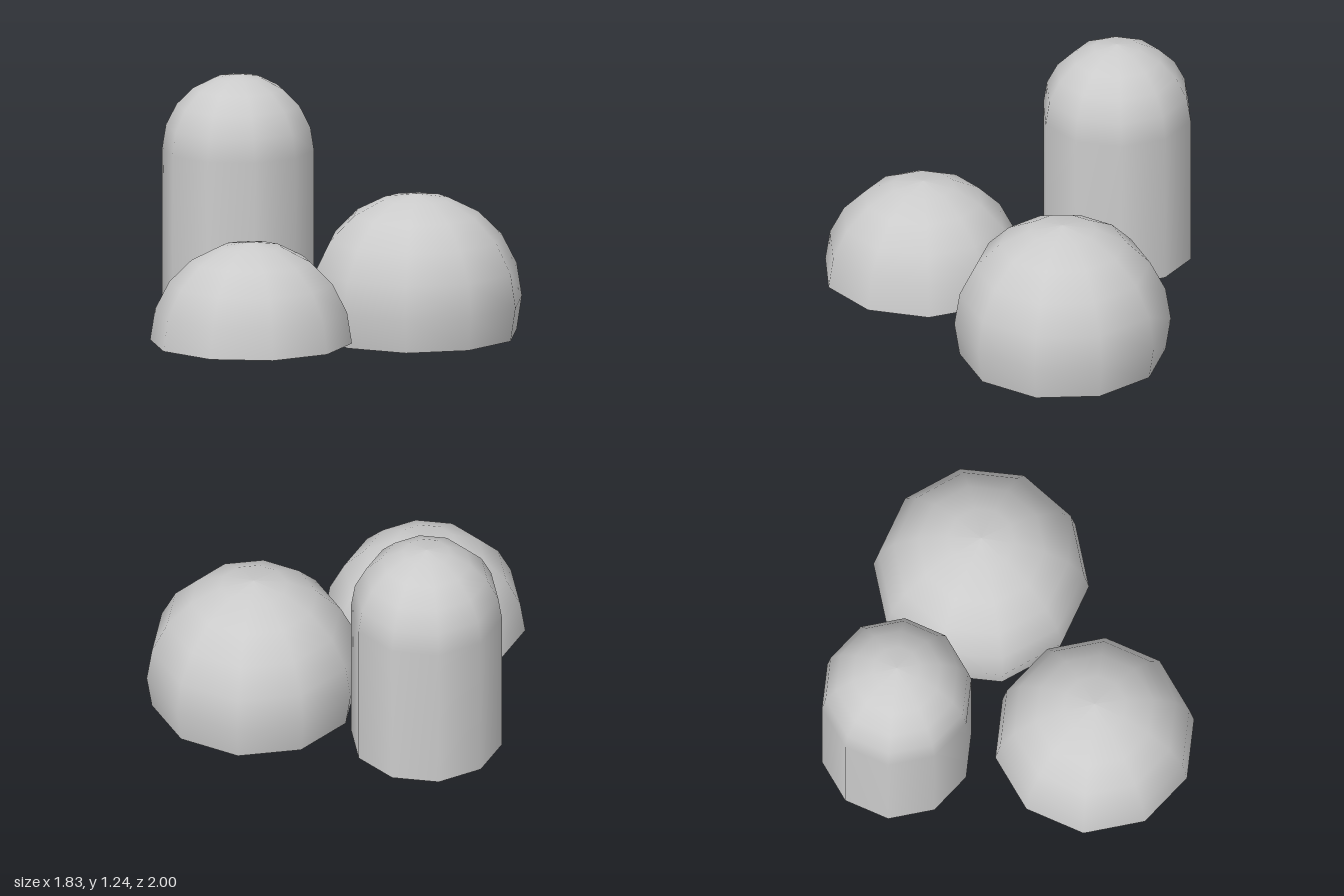
import * as THREE from 'three';

const SIDES = 10;
const STEP = Math.PI / 10; // 18 degrees between dome rings

const material = new THREE.MeshStandardMaterial({ color: 0xcccccc, side: THREE.DoubleSide });

// Open-bottomed ten-sided dome; foot is an optional [radius, y] ring below the widest ring
function dome(name, x, z, radius, widestY, turn, foot) {
  const profile = foot ? [new THREE.Vector2(...foot)] : [];
  for (let i = 0; i <= 5; i++) {
    const a = i * STEP;
    profile.push(new THREE.Vector2(i === 5 ? 0 : radius * Math.cos(a), widestY + radius * Math.sin(a)));
  }
  const mesh = new THREE.Mesh(new THREE.LatheGeometry(profile, SIDES), material);
  mesh.name = name;
  mesh.position.set(x, 0, z);
  mesh.rotation.y = turn;
  return mesh;
}

export function createModel() {
  const group = new THREE.Group();
  group.name = 'domes';
  group.add(
    // Tall round-topped column with straight walls
    dome('tallColumn', -0.535, -0.18, 0.38, 0.855, Math.PI / 2, [0.38, 0.077]),
    // Low half-sphere at the front
    dome('frontDome', 0.166, 0.515, 0.505, 0.073, Math.PI / 2),
    // Large dome at the back, curving in again below its widest ring
    dome('backDome', 0.398, -0.462, 0.54, 0.17, 0, [0.54 * Math.cos(STEP), 0])
  );
  return group;
}
